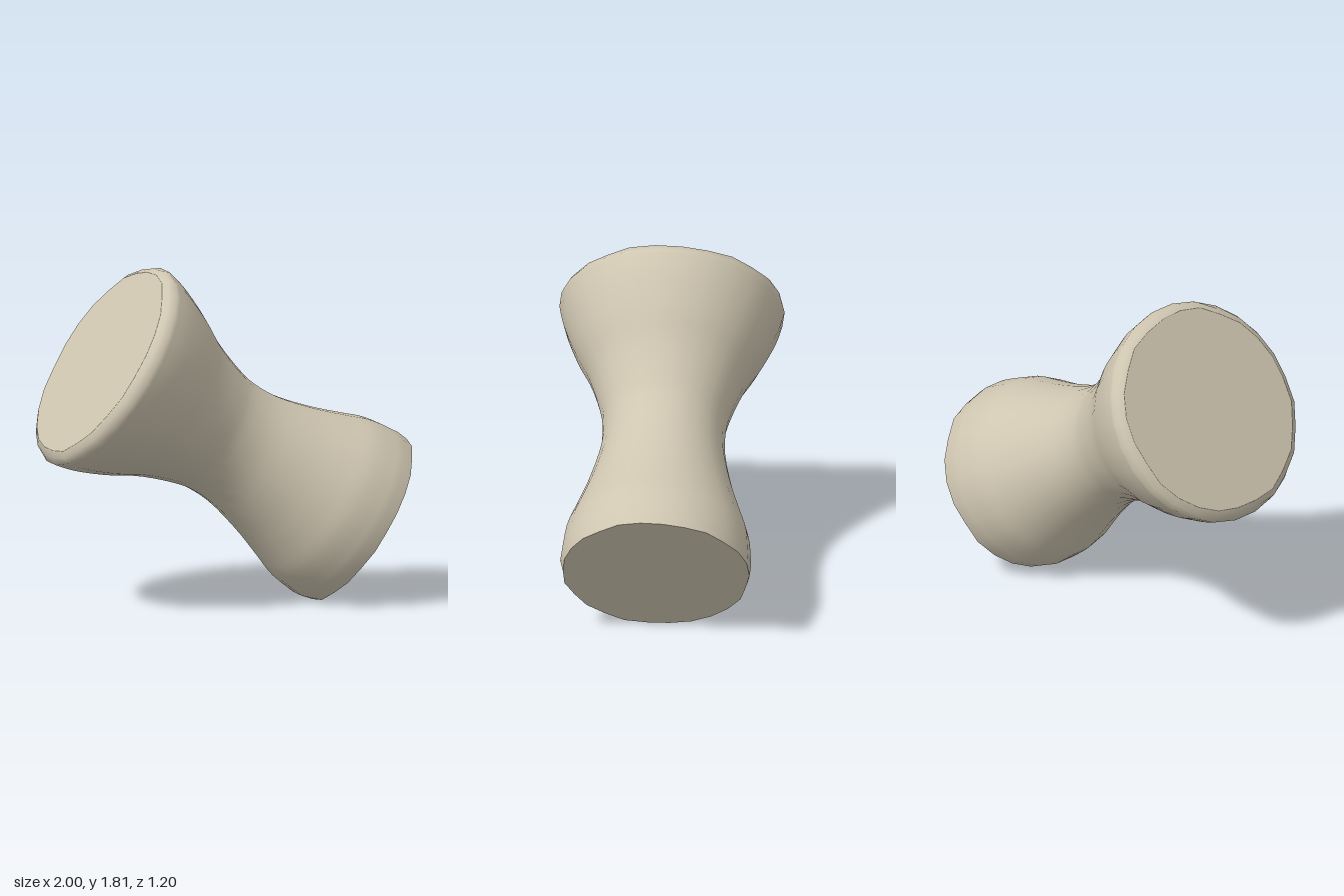
import * as THREE from 'three';

const SIDES = 26;

// Small seeded noise for the worn rims
function seeded(seed) {
  let s = seed;
  return () => (s = (s * 16807) % 2147483647) / 2147483647;
}

export function createModel() {
  const stone = new THREE.MeshStandardMaterial({ color: 0xcfc6b1 });
  stone.name = 'warm stone';

  // Per-side wear, shared by wall and caps so that they meet
  const rand = seeded(77);
  const wear = Array.from({ length: SIDES }, () => 0.018 * (rand() - 0.6));

  // Revolve a profile, then wear down the vertices close to either end
  function turned(name, points) {
    const geo = new THREE.LatheGeometry(points, SIDES);
    const pos = geo.attributes.position;
    for (let i = 0; i < pos.count; i++) {
      const side = Math.floor(i / points.length) % SIDES;
      const r = Math.hypot(pos.getX(i), pos.getZ(i));
      if (Math.abs(pos.getY(i)) > 0.82 && r > 0.1) {
        const k = 1 + wear[side] / r;
        pos.setX(i, pos.getX(i) * k);
        pos.setZ(i, pos.getZ(i) * k);
      }
    }
    const mesh = new THREE.Mesh(geo, stone);
    mesh.name = name;
    return mesh;
  }

  const v = (r, y) => new THREE.Vector2(r, y);

  // Waisted wall, from the small end to the large end
  const curve = new THREE.SplineCurve([
    v(0.507, -0.8), v(0.488, -0.64), v(0.44, -0.5), v(0.383, -0.33), v(0.333, -0.12),
    v(0.328, 0.04), v(0.352, 0.16), v(0.415, 0.34), v(0.498, 0.5), v(0.568, 0.67), v(0.598, 0.79),
  ]);
  const wall = [v(0.5, -0.865), ...curve.getPoints(32), v(0.582, 0.825), v(0.548, 0.845)];

  const spool = new THREE.Group();
  spool.name = 'spool';
  spool.add(
    turned('waistedBody', wall),
    turned('smallEndCap', [v(0, -0.865), v(0.5, -0.865)]),
    turned('largeEndCap', [v(0.548, 0.845), v(0, 0.845)])
  );

  // Tilt so the small end rests on its lower rim
  spool.rotation.z = 1.001;
  spool.position.y = 0.9;

  const model = new THREE.Group();
  model.name = 'tiltedSpool';
  model.add(spool);
  return model;
}
